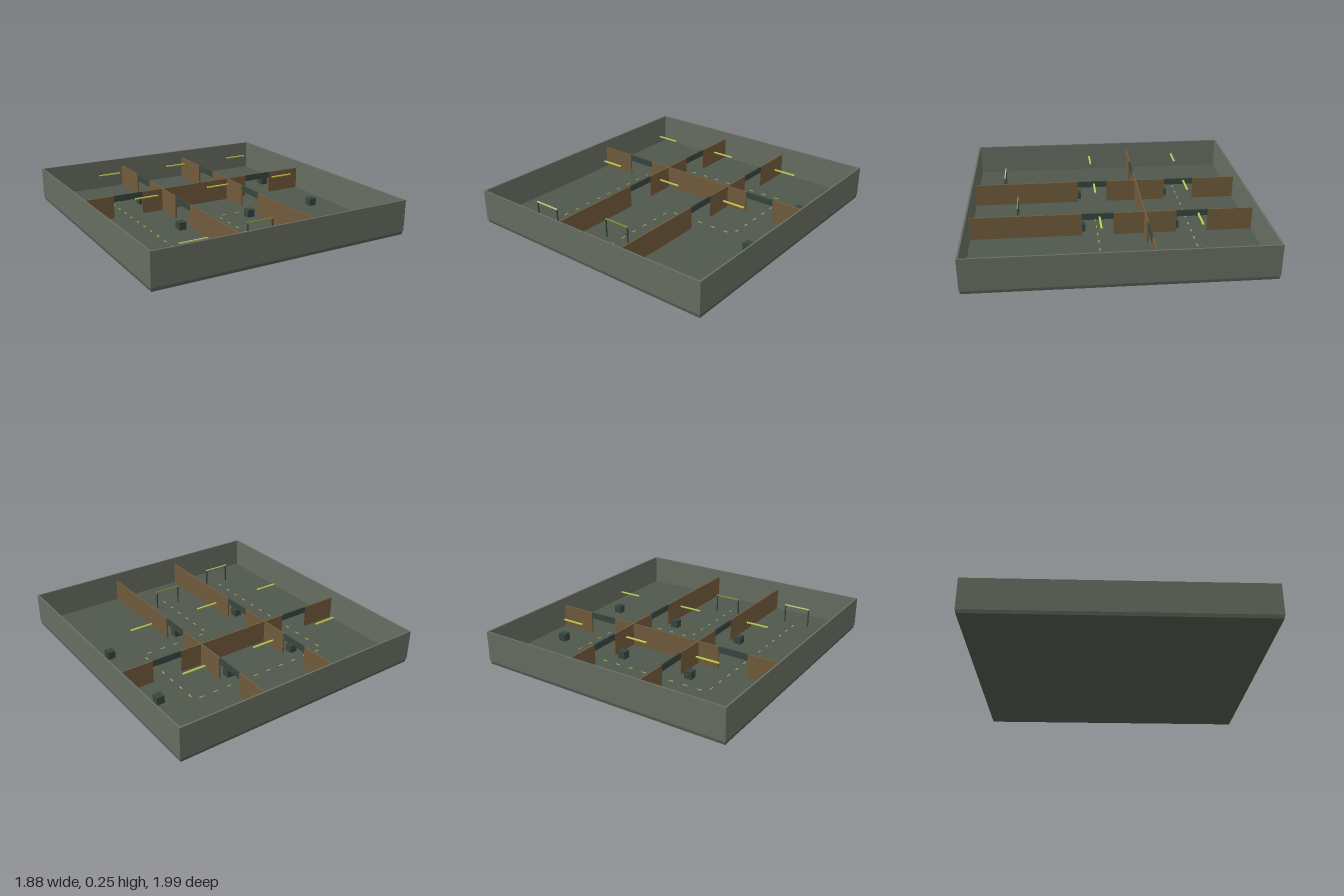
import * as THREE from 'three';

const mat = (color) => new THREE.MeshStandardMaterial({ color });

export function createModel() {
  const model = new THREE.Group();
  const M = {
    floor: mat(0x50584d), wall: mat(0x666d61), panel: mat(0x705a3c), dark: mat(0x38453e),
    strip: mat(0xc0cc50), dash: mat(0x94a058), pale: mat(0xc8cc84), olive: mat(0x84903a),
  };

  const FLOOR = 0.022, WALL_TOP = 0.243, PART_TOP = 0.185, LINTEL = 0.045, THICK = 0.011;
  const HX = 0.94, HZ = 0.995;
  const cols = [-0.55, 0, 0.55], rows = [-0.555, 0.105];

  const box = (name, m, w, h, d, x, y, z, parent = model) => {
    const mesh = new THREE.Mesh(new THREE.BoxGeometry(w, h, d), m);
    mesh.name = name;
    mesh.position.set(x, y, z);
    parent.add(mesh);
    return mesh;
  };

  // Floor slab and outer walls
  box('floor', M.floor, 2 * HX - 0.01, FLOOR, 2 * HZ - 0.01, 0, FLOOR / 2, 0);
  const wallH = WALL_TOP - FLOOR, wallY = (WALL_TOP + FLOOR) / 2;
  for (const s of [-1, 1]) {
    box('sideWall', M.wall, 0.012, wallH, 2 * HZ, s * (HX - 0.006), wallY, 0);
    box('endWall', M.wall, 2 * HX - 0.024, wallH, 0.012, 0, wallY, s * (HZ - 0.006));
  }

  // Partition run along x, with doorways bridged by lintels
  const partition = (name, half, doors) => {
    const group = new THREE.Group();
    group.name = name;
    const doorHalf = 0.11;
    const panelH = PART_TOP - FLOOR;
    let start = -half;
    for (const c of [...doors, half + doorHalf]) {
      const end = c - doorHalf;
      box('partitionPanel', M.panel, end - start, panelH, THICK, (start + end) / 2, FLOOR + panelH / 2, 0, group);
      if (c < half) box('lintel', M.dark, 2 * doorHalf, LINTEL, THICK, c, PART_TOP - LINTEL / 2, 0, group);
      start = c + doorHalf;
    }
    model.add(group);
    return group;
  };
  partition('crossPartition', HX - 0.012, [-0.55, 0.55]).position.z = -0.225;
  for (const x of [-0.276, 0.276]) {
    const p = partition('longPartition', HZ - 0.012, rows);
    p.rotation.y = -Math.PI / 2;
    p.position.x = x;
  }

  // One light strip and one crate per room
  for (const x of cols) for (const z of rows) {
    box('lightStrip', M.strip, 0.165, 0.007, 0.013, x, 0.25, z);
    box('crate', M.dark, 0.055, 0.055, 0.055, x + 0.2, FLOOR + 0.0275, z + 0.11);
  }

  // Dashed floor route
  const route = (x, z, alongX, count) => {
    for (let i = 0; i < count; i++) {
      const t = 0.055 + i * 0.11;
      box('routeDash', M.dash, alongX ? 0.033 : 0.009, 0.003, alongX ? 0.009 : 0.033,
        x + (alongX ? t : 0), FLOOR + 0.0015, z + (alongX ? 0 : t));
    }
  };
  route(-0.55, -0.555, true, 10);
  route(-0.55, -0.555, false, 12);
  route(0.55, -0.555, false, 6);
  route(0, 0.105, true, 5);
  route(0, 0.105, false, 6);

  // Gates: crossbar on two posts
  const gate = (name, x, z, m) => {
    const g = new THREE.Group();
    g.name = name;
    const top = 0.163;
    box('crossbar', m, 0.2, 0.008, 0.008, 0, top - 0.004, 0, g);
    for (const s of [-1, 1])
      box('gatePost', M.dark, 0.008, top - 0.008 - FLOOR, 0.008, s * 0.096, (top - 0.008 + FLOOR) / 2, 0, g);
    g.position.set(x, 0, z);
    model.add(g);
  };
  gate('entryGate', -0.55, 0.77, M.pale);
  gate('exitGate', 0, 0.66, M.olive);

  return model;
}
